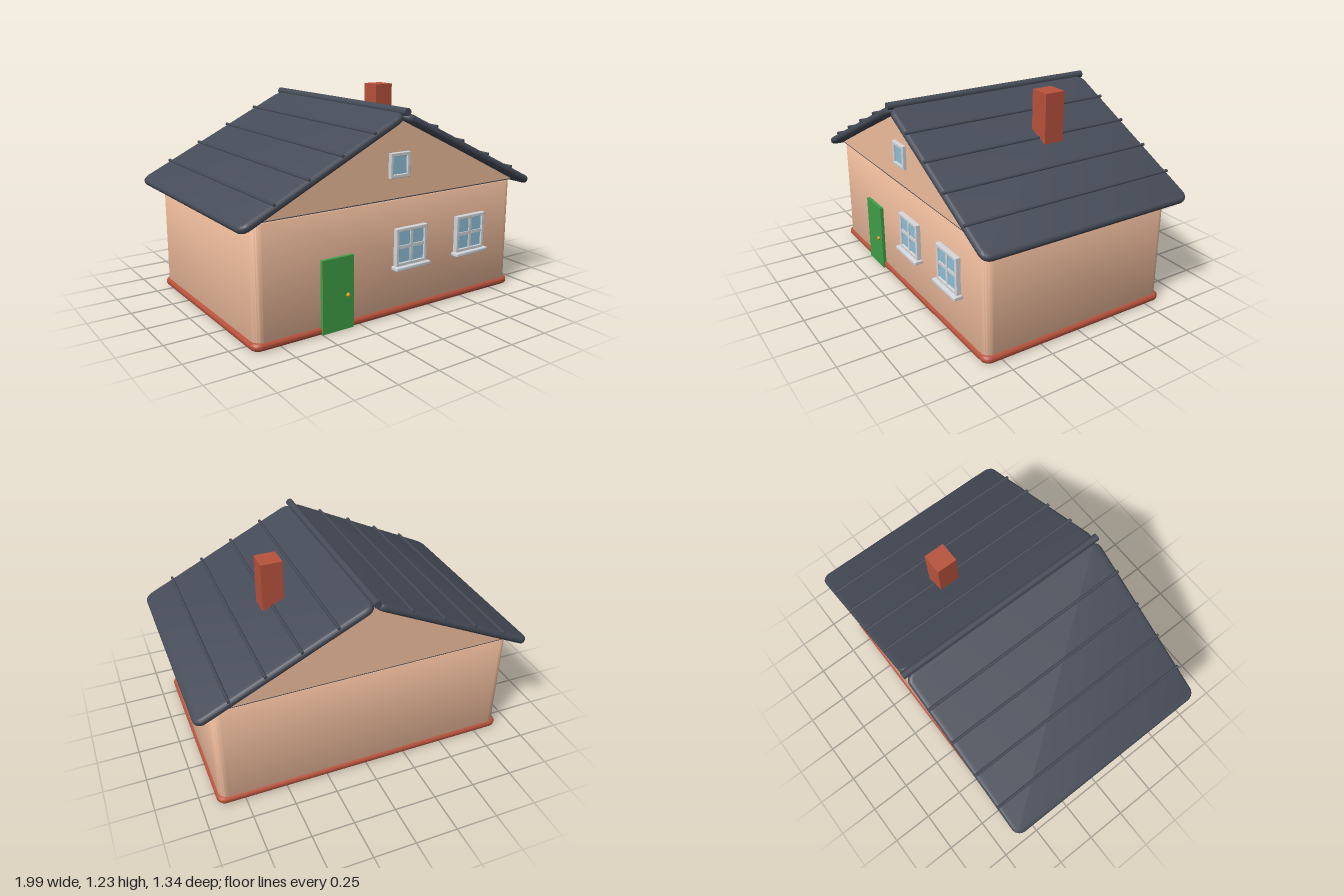
import * as THREE from 'three';
import { toCreasedNormals } from 'three/addons/utils/BufferGeometryUtils.js';

const mat = (color) => new THREE.MeshStandardMaterial({ color });

// Horizontal slab with rounded plan corners (r) and rounded top and bottom edges (b), centred
function roundedSlab(w, h, d, r, b) {
  const x = w / 2 - b, y = d / 2 - b, k = r - b;
  const s = new THREE.Shape();
  s.moveTo(-x + k, -y);
  s.lineTo(x - k, -y);
  s.absarc(x - k, -y + k, k, -Math.PI / 2, 0);
  s.lineTo(x, y - k);
  s.absarc(x - k, y - k, k, 0, Math.PI / 2);
  s.lineTo(-x + k, y);
  s.absarc(-x + k, y - k, k, Math.PI / 2, Math.PI);
  s.lineTo(-x, -y + k);
  s.absarc(-x + k, -y + k, k, Math.PI, Math.PI * 1.5);
  const g = new THREE.ExtrudeGeometry(s, {
    depth: h - 2 * b, bevelEnabled: true, bevelSize: b, bevelThickness: b, bevelSegments: 4, curveSegments: 6,
  });
  g.rotateX(-Math.PI / 2);
  g.center();
  return toCreasedNormals(g, 0.7);
}

export function createModel() {
  const house = new THREE.Group();
  house.name = 'house';
  const peach = mat(0xf2bf9f), slate = mat(0x464c58), brick = mat(0xb8523c);
  const green = mat(0x40a048), white = mat(0xd4d8dc), glass = mat(0x8fc1da), gold = mat(0xd09a20);

  const add = (parent, name, geo, material, x = 0, y = 0, z = 0) => {
    const m = new THREE.Mesh(geo, material);
    m.name = name;
    m.position.set(x, y, z);
    parent.add(m);
    return m;
  };
  const box = (parent, name, material, w, h, d, x, y, z) =>
    add(parent, name, new THREE.BoxGeometry(w, h, d), material, x, y, z);

  // Foundation and walls
  add(house, 'foundation', roundedSlab(1.82, 0.045, 1.22, 0.05, 0.02), brick, 0, 0.0225, 0);
  add(house, 'walls', roundedSlab(1.79, 0.66, 1.195, 0.05, 0.02), peach, 0, 0.35, 0);

  // Gable prism on a thin dark attic floor
  const tri = new THREE.Shape();
  tri.moveTo(-0.89, 0.682);
  tri.lineTo(0.89, 0.682);
  tri.lineTo(0, 1.125);
  const gable = new THREE.ExtrudeGeometry(tri, { depth: 1.2, bevelEnabled: false });
  add(house, 'gable', gable, peach, 0, 0, -0.6);
  box(house, 'atticFloor', slate, 1.78, 0.006, 1.2, 0, 0.68, 0);

  // Two roof slopes with seams, the second turned half around
  const pitch = Math.atan(0.4875), run = 1.115, start = 0.015;
  for (const side of [0, 1]) {
    const half = new THREE.Group();
    half.name = side ? 'rightRoof' : 'leftRoof';
    half.rotation.y = side * Math.PI;
    const slope = new THREE.Group();
    slope.position.y = 1.17;
    slope.rotation.z = -pitch;
    half.add(slope);
    add(slope, 'roofPanel', roundedSlab(run - start, 0.045, 1.335, 0.055, 0.02), slate, (run + start) / 2, -0.0225, 0);
    for (const x of [0.21, 0.41, 0.61, 0.81]) {
      const seam = new THREE.CylinderGeometry(0.009, 0.009, 1.338, 8).rotateX(Math.PI / 2);
      add(slope, 'roofSeam', seam, slate, x / Math.cos(pitch), 0.001, 0);
    }
    house.add(half);
  }
  add(house, 'ridge', new THREE.CylinderGeometry(0.022, 0.022, 1.344, 16).rotateX(Math.PI / 2), slate, 0, 1.163, 0);

  // Chimney
  box(house, 'chimney', brick, 0.125, 0.335, 0.125, 0.403, 1.066, -0.122);

  // Door and knob
  box(house, 'door', green, 0.2, 0.415, 0.04, -0.405, 0.212, 0.598);
  add(house, 'doorKnob', new THREE.SphereGeometry(0.012, 16, 12), gold, -0.345, 0.2, 0.622);

  // Window: frame with an opening, pane, and optional cross bars and sill
  function addWindow(name, x, y, w, h, z, full) {
    const win = new THREE.Group();
    win.name = name;
    win.position.set(x, y, z);
    const t = 0.02, a = w / 2, b = h / 2;
    const s = new THREE.Shape([[-a, -b], [a, -b], [a, b], [-a, b]].map((p) => new THREE.Vector2(...p)));
    s.holes.push(new THREE.Path([[t - a, t - b], [t - a, b - t], [a - t, b - t], [a - t, t - b]].map((p) => new THREE.Vector2(...p))));
    const frame = new THREE.ExtrudeGeometry(s, {
      depth: 0.03, bevelEnabled: true, bevelSize: 0.003, bevelThickness: 0.003, bevelOffset: -0.003, bevelSegments: 2,
    });
    add(win, 'windowFrame', frame, white, 0, 0, -0.008);
    box(win, 'windowPane', glass, w - t, h - t, 0.02, 0, 0, 0.004);
    if (full) {
      box(win, 'windowBarUpright', white, 0.018, h - t, 0.02, 0, 0, 0.011);
      box(win, 'windowBarCross', white, w - t, 0.018, 0.02, 0, 0, 0.011);
      add(win, 'windowSill', roundedSlab(w + 0.03, 0.021, 0.055, 0.008, 0.005), white, 0, -b - 0.008, 0.021);
    }
    house.add(win);
  }
  addWindow('frontWindowCentre', 0.09, 0.4, 0.22, 0.22, 0.6, true);
  addWindow('frontWindowLeft', 0.54, 0.4, 0.22, 0.22, 0.6, true);
  addWindow('atticWindow', 0, 0.87, 0.135, 0.14, 0.597, false);

  return house;
}
